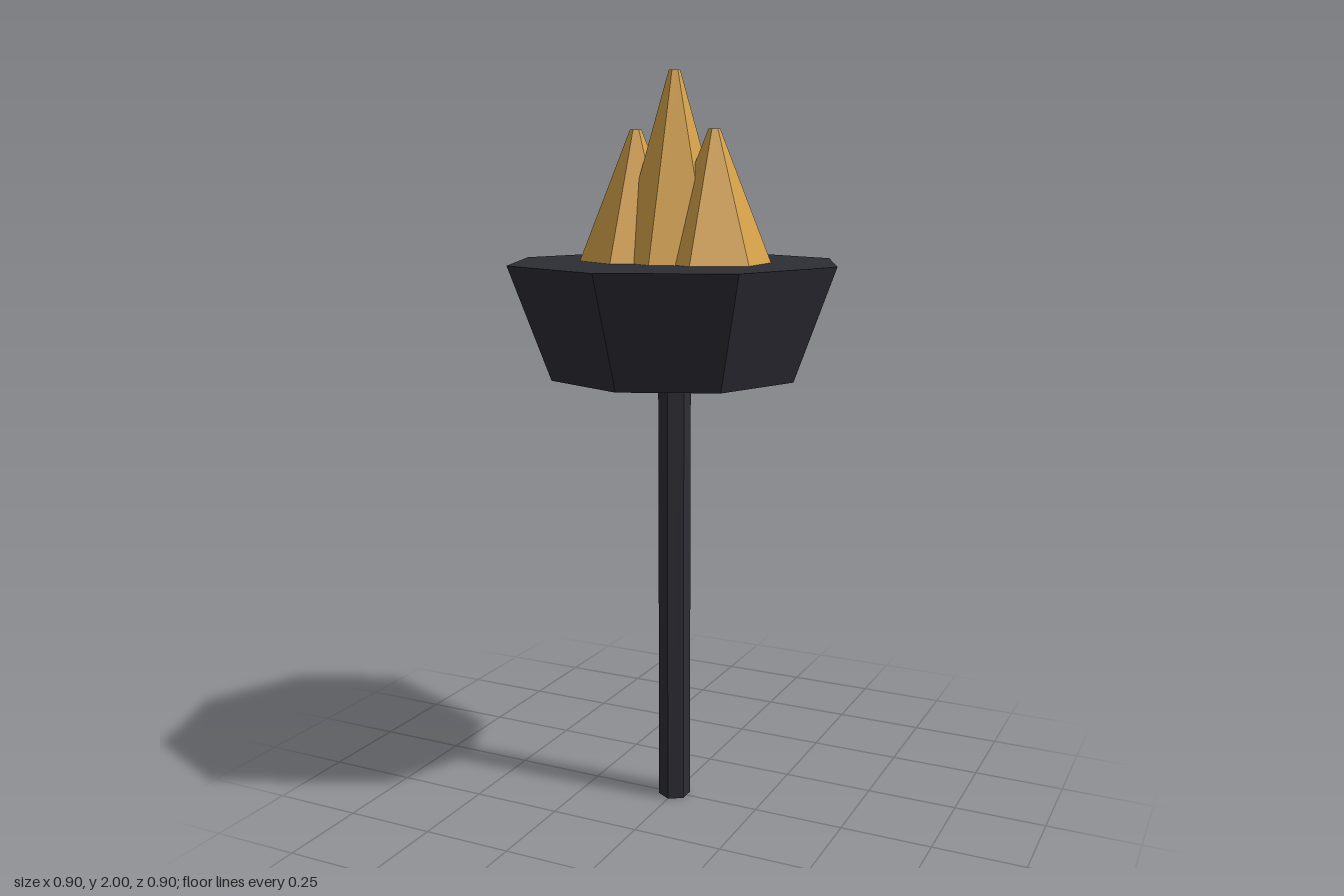
import * as THREE from 'three';

export function createModel() {
  const iron = new THREE.MeshStandardMaterial({ name: 'dark iron', color: 0x2d2d35 });
  const amber = new THREE.MeshStandardMaterial({ name: 'amber flame', color: 0xd6a24a });
  const group = new THREE.Group();
  group.name = 'torch';

  // Faceted tapered prism standing between two heights
  function taper(name, material, rTop, rBottom, y0, y1, sides, x = 0) {
    const geometry = new THREE.CylinderGeometry(rTop, rBottom, y1 - y0, sides).toNonIndexed();
    geometry.computeVertexNormals();
    const mesh = new THREE.Mesh(geometry, material);
    mesh.name = name;
    mesh.position.set(x, (y0 + y1) / 2, 0);
    group.add(mesh);
  }

  // Pole and bowl
  taper('pole', iron, 0.044, 0.044, 0, 1.21, 6);
  taper('bowl', iron, 0.452, 0.34, 1.21, 1.51, 8);

  // Three overlapping flames
  taper('middleFlame', amber, 0.015, 0.155, 1.508, 2, 6);
  for (const side of [-1, 1]) {
    taper(side > 0 ? 'leftFlame' : 'rightFlame', amber, 0.015, 0.152, 1.508, 1.852, 6, side * 0.113);
  }
  return group;
}
